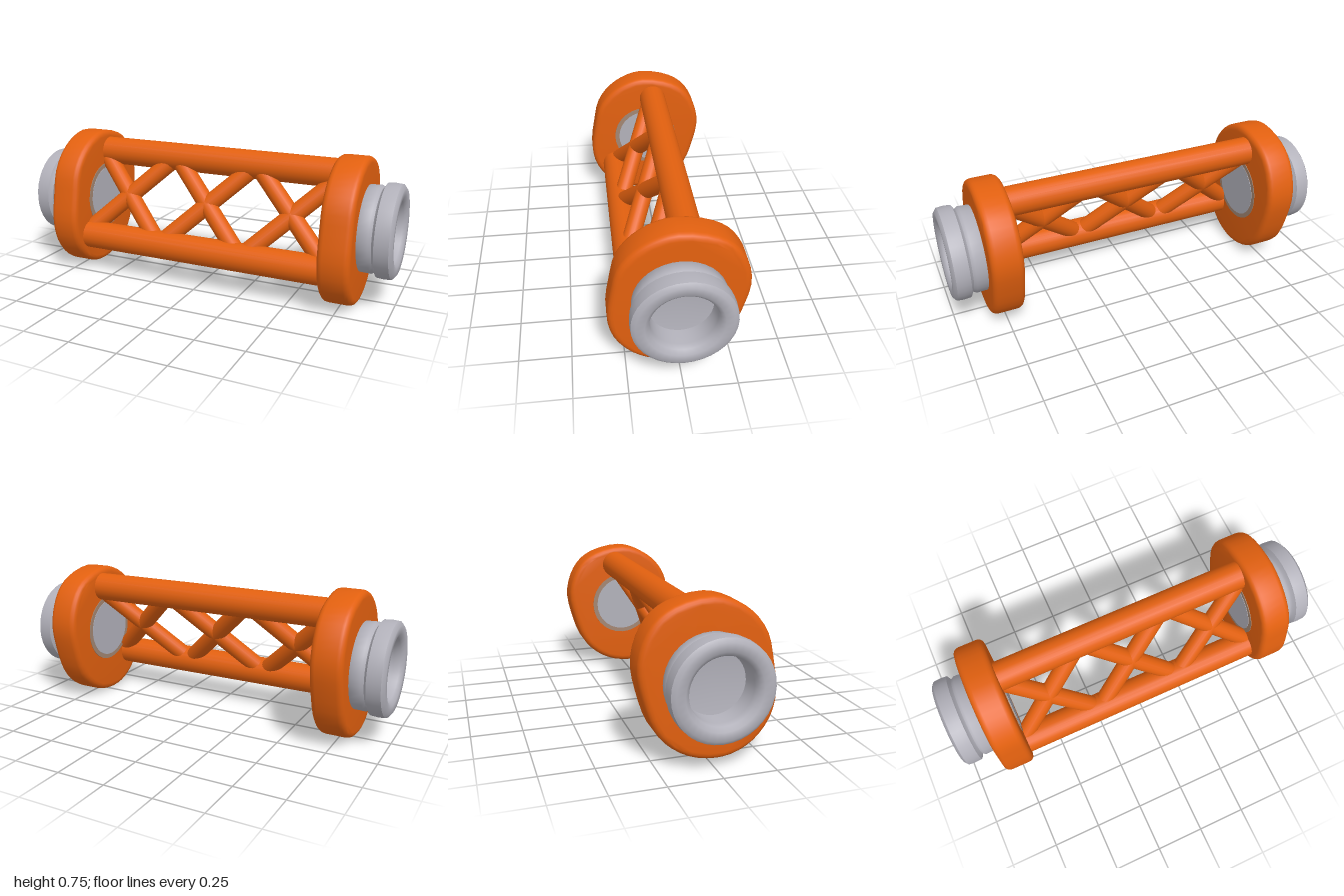
import * as THREE from 'three';
import { toCreasedNormals } from 'three/addons/utils/BufferGeometryUtils.js';

const AXIS_Y = 0.385;

export function createModel() {
  const model = new THREE.Group();
  model.name = 'trussConnector';

  const material = (name, color) => {
    const m = new THREE.MeshStandardMaterial({ color });
    m.name = name;
    return m;
  };
  const orange = material('orange', 0xe2600f);
  const grey = material('grey', 0xb2b1ba);
  const taupe = material('taupe', 0xa38672);

  const add = (name, geometry, mat, parent = model) => {
    const mesh = new THREE.Mesh(geometry, mat);
    mesh.name = name;
    parent.add(mesh);
    return mesh;
  };

  // Round bar between two points
  const bar = (name, from, to, radius) => {
    const a = new THREE.Vector3(...from);
    const b = new THREE.Vector3(...to);
    const dir = b.clone().sub(a);
    const mesh = add(name, new THREE.CylinderGeometry(radius, radius, dir.length(), 20), orange);
    mesh.position.copy(a).add(b).multiplyScalar(0.5);
    mesh.quaternion.setFromUnitVectors(new THREE.Vector3(0, 1, 0), dir.normalize());
  };

  // Leaning oval outline of the end flanges, as (z, y) points
  const outline = [
    [0.01, 0.752], [-0.15, 0.722], [-0.24, 0.665], [-0.3, 0.57], [-0.325, 0.45],
    [-0.3, 0.31], [-0.25, 0.17], [-0.18, 0.085], [-0.08, 0.025], [0.04, 0.003],
    [0.14, 0.02], [0.23, 0.075], [0.3, 0.17], [0.327, 0.29], [0.305, 0.45],
    [0.275, 0.57], [0.21, 0.66], [0.12, 0.722],
  ];
  const bevel = 0.03;
  const flange = (name, x, scaleY) => {
    const curve = new THREE.CatmullRomCurve3(
      outline.map(([z, y]) => new THREE.Vector3(-z, (y - 0.0) * scaleY, 0)), true);
    const shape = new THREE.Shape(
      curve.getPoints(48).slice(0, -1).map((p) => new THREE.Vector2(p.x, p.y)));
    const geometry = new THREE.ExtrudeGeometry(shape, {
      depth: 0.16 - 2 * bevel, bevelThickness: bevel, bevelSize: bevel,
      bevelOffset: -bevel, bevelSegments: 4, curveSegments: 1,
    });
    geometry.translate(0, 0, bevel - 0.08);
    geometry.rotateY(Math.PI / 2);
    add(name, toCreasedNormals(geometry, 0.7), orange).position.x = x;
  };
  flange('leftFlange', 0.75, 0.983);
  flange('rightFlange', -0.75, 1);

  // Hollow end fitting: neck, groove, collar and bore, as (radius, x)
  const profile = [
    [0.2, 0.81], [0.218, 0.83], [0.22, 0.885], [0.21, 0.9], [0.215, 0.905],
    [0.234, 0.915], [0.237, 0.95], [0.234, 0.985], [0.215, 1.0], [0.175, 0.998],
    [0.155, 0.98], [0.15, 0.95], [0.145, 0.87], [0, 0.85],
  ].map(([r, x]) => new THREE.Vector2(r, x));
  const fittingGeometry = toCreasedNormals(new THREE.LatheGeometry(profile, 36), 0.75);
  fittingGeometry.rotateZ(-Math.PI / 2);

  for (const side of [1, -1]) {
    const end = new THREE.Group();
    end.name = side > 0 ? 'leftFitting' : 'rightFitting';
    end.position.y = AXIS_Y;
    end.rotation.y = side > 0 ? 0 : Math.PI;
    model.add(end);
    add('hollowCollar', fittingGeometry, grey, end);

    // Inner end of the fitting, showing through the flange
    const plug = (name, radius, x, mat) => {
      const mesh = add(name, new THREE.CylinderGeometry(radius, radius, 0.006, 28), mat, end);
      mesh.rotation.z = Math.PI / 2;
      mesh.position.x = x;
    };
    plug('innerPlugRim', 0.185, 0.67, taupe);
    plug('innerPlug', 0.16, 0.668, grey);
  }

  // Two long rails, upper one further back
  const top = { y: 0.635, z: -0.045 };
  const bottom = { y: 0.2, z: 0.19 };
  bar('upperRail', [-0.7, top.y, top.z], [0.7, top.y, top.z], 0.075);
  bar('lowerRail', [-0.7, bottom.y, bottom.z], [0.7, bottom.y, bottom.z], 0.075);

  // Three crossed pairs of struts in the slanted plane between the rails
  const half = 0.235;
  for (const x of [-0.47, 0, 0.47]) {
    for (const s of [1, -1]) {
      bar('crossStrut', [x - s * half, bottom.y, bottom.z], [x + s * half, top.y, top.z], 0.047);
    }
  }

  return model;
}
